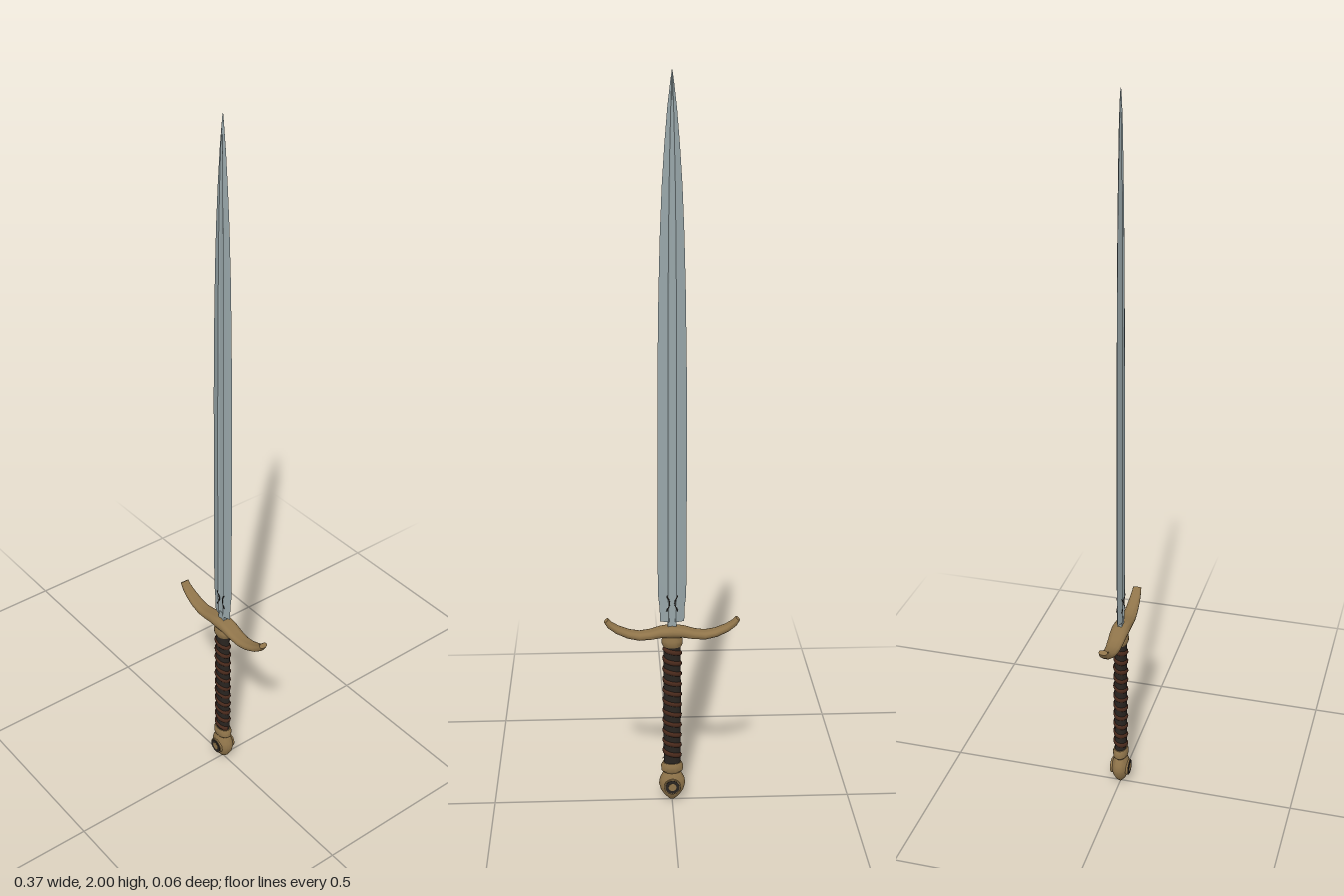
import * as THREE from 'three';
import { toCreasedNormals } from 'three/addons/utils/BufferGeometryUtils.js';

const mat = (name, color) => {
  const m = new THREE.MeshStandardMaterial({ color });
  m.name = name;
  return m;
};

// Skin a list of rings of points, closing both ends
function loft(rings, crease) {
  const pos = [];
  const tri = (...pts) => pts.forEach((p) => pos.push(...p));
  const n = rings[0].length;
  const last = rings.length - 1;
  for (let i = 0; i < last; i++) {
    for (let j = 0; j < n; j++) {
      const k = (j + 1) % n;
      const [a, b, c, d] = [rings[i][j], rings[i][k], rings[i + 1][k], rings[i + 1][j]];
      tri(a, b, c);
      tri(a, c, d);
    }
  }
  const mid = (r) => [0, 1, 2].map((q) => r.reduce((s, p) => s + p[q], 0) / n);
  for (let j = 0; j < n; j++) {
    const k = (j + 1) % n;
    tri(mid(rings[0]), rings[0][k], rings[0][j]);
    tri(mid(rings[last]), rings[last][j], rings[last][k]);
  }
  const g = new THREE.BufferGeometry();
  g.setAttribute('position', new THREE.Float32BufferAttribute(pos, 3));
  return toCreasedNormals(g, crease);
}

export function createModel() {
  const steel = mat('steel', 0x98a6a9);
  const brass = mat('brass', 0x8f744a);
  const leather = mat('leather', 0x4a2a1c);
  const dark = mat('dark', 0x292420);
  const sword = new THREE.Group();
  sword.name = 'sword';
  const add = (name, geometry, material) => {
    const m = new THREE.Mesh(geometry, material);
    m.name = name;
    sword.add(m);
    return m;
  };

  // Blade: fullered section, swept from shoulder to point
  const half = [[1, 0], [0.6, 0.65], [0.3, 1], [0.18, 0.65], [0, 0.55],
    [-0.18, 0.65], [-0.3, 1], [-0.6, 0.65]];
  const section = [...half, ...half.map(([x, z]) => [-x, -z])];
  const stations = [[0.545, 0.033, 0.008], [0.585, 0.034, 0.008], [0.62, 0.038, 0.008],
    [0.7, 0.039, 0.008], [0.95, 0.039, 0.008], [1.25, 0.038, 0.0075], [1.45, 0.035, 0.007],
    [1.6, 0.031, 0.0065], [1.72, 0.026, 0.006], [1.82, 0.0195, 0.005], [1.91, 0.012, 0.004],
    [1.97, 0.005, 0.0025], [2, 0.0008, 0.0008]];
  add('blade', loft(stations.map(([y, w, t]) =>
    section.map(([x, z]) => [x * w, y, -z * t])), 0.3), steel);
  add('bladeNeck', new THREE.BoxGeometry(0.024, 0.04, 0.012).translate(0, 0.535, 0), steel);

  // Curved engraved strokes on both faces of the blade
  for (const s of [-1, 1]) {
    for (const f of [-1, 1]) {
      const stroke = new THREE.CatmullRomCurve3([
        new THREE.Vector3(s * 0.015, 0.577, f * 0.0075),
        new THREE.Vector3(s * 0.007, 0.6, f * 0.0065),
        new THREE.Vector3(s * 0.015, 0.623, f * 0.0075)]);
      add('engraving', new THREE.TubeGeometry(stroke, 10, 0.0018, 6), dark);
    }
  }

  // Crossguard: rounded section following a curve from end to end
  const arm = [[0, 0.516, 0.017, 0.025], [0.03, 0.514, 0.014, 0.024], [0.06, 0.507, 0.012, 0.022],
    [0.09, 0.504, 0.0115, 0.02], [0.12, 0.51, 0.011, 0.018], [0.15, 0.523, 0.01, 0.016],
    [0.17, 0.537, 0.009, 0.0135], [0.18, 0.55, 0.007, 0.012]];
  const path = [...arm.slice(1).reverse().map(([x, ...r]) => [-x, ...r]), ...arm];
  const N = 20;
  const soft = (v) => Math.sign(v) * Math.abs(v) ** 0.8;
  const guardRings = path.map(([x, y, h, d], i) => {
    const p = path[Math.max(i - 1, 0)];
    const q = path[Math.min(i + 1, path.length - 1)];
    const a = Math.atan2(q[1] - p[1], q[0] - p[0]);
    return Array.from({ length: N }, (_, j) => {
      const t = (j / N) * Math.PI * 2;
      const u = soft(Math.cos(t)) * h;
      return [x - Math.sin(a) * u, y + Math.cos(a) * u, soft(Math.sin(t)) * d];
    });
  });
  add('crossguard', loft(guardRings, 0.8), brass);

  // Turned parts, flattened front to back
  const turned = (name, profile, depth, material) => {
    const g = new THREE.LatheGeometry(profile.map(([r, y]) => new THREE.Vector2(r, y)), 32);
    add(name, toCreasedNormals(g.scale(1, 1, depth), 0.6), material);
  };
  turned('guardCollar', [[0, 0.472], [0.025, 0.472], [0.029, 0.48], [0.029, 0.49],
    [0.024, 0.505], [0, 0.505]], 0.75, brass);
  turned('gripCore', [[0, 0.11], [0.023, 0.11], [0.0245, 0.3], [0.023, 0.48], [0, 0.48]], 0.72, dark);
  turned('pommel', [[0, 0], [0.009, 0.004], [0.022, 0.017], [0.032, 0.033], [0.037, 0.052],
    [0.034, 0.069], [0.027, 0.082], [0.024, 0.088], [0.03, 0.094], [0.031, 0.108],
    [0.026, 0.118], [0, 0.118]], 0.7, brass);

  // Leather wrap spiralling up the grip
  const TURNS = 11;
  const helix = Array.from({ length: TURNS * 16 + 1 }, (_, i) => {
    const t = (i / 16) * Math.PI * 2;
    return new THREE.Vector3(Math.cos(t) * 0.019, 0.124 + (0.342 * i) / (TURNS * 16),
      Math.sin(t) * 0.0125);
  });
  const wrap = new THREE.TubeGeometry(new THREE.CatmullRomCurve3(helix), TURNS * 24, 0.0085, 8);
  add('gripWrap', wrap, leather);

  // Medallion on each face of the pommel
  for (const f of [-1, 1]) {
    const disc = (name, r, z, depth, material) => add(name,
      new THREE.CylinderGeometry(r, r, depth, 28).rotateX(Math.PI / 2)
        .translate(0, 0.051, f * z), material);
    disc('medallionSeat', 0.023, 0.0215, 0.009, brass);
    disc('medallionRing', 0.02, 0.0245, 0.006, dark);
    disc('medallionCentre', 0.011, 0.0255, 0.005, brass);
  }
  return sword;
}
